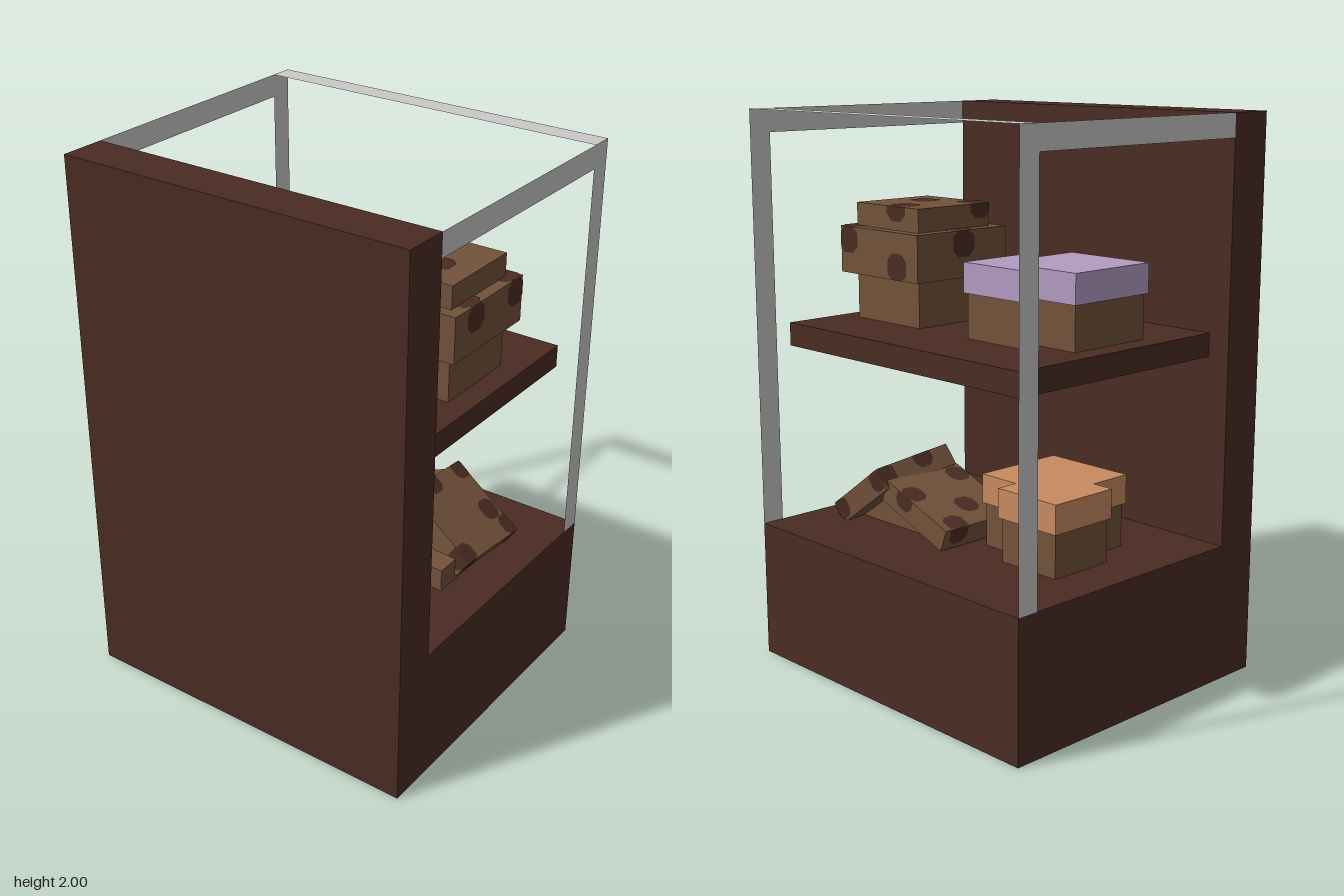
import * as THREE from 'three';
import { mergeGeometries } from 'three/addons/utils/BufferGeometryUtils.js';

const material = (name, color, side = THREE.FrontSide) => {
  const m = new THREE.MeshStandardMaterial({ color, side });
  m.name = name;
  return m;
};
const P = 1 / 12; // modelling unit
const LIP = 0.0104; // lids are slightly larger than the boxes below

export function createModel() {
  const wood = material('darkWood', 0x4a2c23);
  const tan = material('tanCrust', 0x73533b);
  const purple = material('purpleIcing', 0xb59bc3);
  const orange = material('orangeIcing', 0xc88a60);
  const grey = material('greyFrame', 0xc9c9c9, THREE.DoubleSide);
  const model = new THREE.Group();
  model.name = 'displayCase';

  // Box given by its lower and upper corners
  const box = (parent, name, mat, lo, hi) => {
    const size = hi.map((h, i) => h - lo[i]);
    const mesh = new THREE.Mesh(new THREE.BoxGeometry(...size), mat);
    mesh.name = name;
    mesh.position.set(...hi.map((h, i) => (h + lo[i]) / 2));
    parent.add(mesh);
    return mesh;
  };

  // Octagonal spots on a box; one near an edge or corner wraps round it
  const addSpots = (mesh, points, r = 0.05) => {
    const { width, height, depth } = mesh.geometry.parameters;
    const half = [width / 2, height / 2, depth / 2];
    const axis = i => new THREE.Vector3().setComponent(i % 3, 1);
    const parts = [];
    for (const p of points) for (let i = 0; i < 3; i++) for (const s of [1, -1]) {
      if (Math.abs(half[i] - s * p[i]) > r * 0.92) continue;
      const u = (i + 1) % 3, v = (i + 2) % 3, c = r * 0.5;
      const clip = (val, k) => THREE.MathUtils.clamp(val, -half[k], half[k]);
      const outline = [[r, -c], [r, c], [c, r], [-c, r], [-r, c], [-r, -c], [-c, -r], [c, -r]]
        .map(([a, b]) => new THREE.Vector2(s * clip(p[u] + a, u), clip(p[v] + b, v)));
      const geometry = new THREE.ShapeGeometry(new THREE.Shape(outline));
      const basis = new THREE.Matrix4().makeBasis(
        axis(u).multiplyScalar(s), axis(v), axis(i).multiplyScalar(s));
      basis.setPosition(axis(i).multiplyScalar(s * (half[i] + 0.002)));
      parts.push(geometry.applyMatrix4(basis));
    }
    const spots = new THREE.Mesh(mergeGeometries(parts), wood);
    spots.name = mesh.name + 'Spots';
    mesh.add(spots);
  };

  // Cabinet
  box(model, 'base', wood, [-8 * P, 0, -7 * P], [8 * P, 0.5, 7 * P]);
  box(model, 'frontWall', wood, [-8 * P, 0.5, 5 * P], [8 * P, 2, 7 * P]);
  box(model, 'shelf', wood, [-7 * P, 14 * P, -6 * P], [7 * P, 15 * P, 5 * P]);

  // Thin pane frames: a post and a rail on each side, a flat strip across the back
  const plane = (name, w, h, pos, rot) => {
    const mesh = new THREE.Mesh(new THREE.PlaneGeometry(w, h), grey);
    mesh.name = name;
    mesh.position.set(...pos);
    mesh.rotation.set(...rot);
    model.add(mesh);
  };
  for (const s of [1, -1]) {
    const side = s > 0 ? 'left' : 'right';
    const turn = [0, s * Math.PI / 2, 0];
    plane(side + 'Post', P, 1.5, [s * 8 * P, 1.25, -6.5 * P], turn);
    plane(side + 'TopRail', 11 * P, P, [s * 8 * P, 23.5 * P, -0.5 * P], turn);
  }
  plane('backTopRail', 16 * P, P, [0, 2, -6.5 * P], [-Math.PI / 2, 0, 0]);

  // Iced cakes: a tan block with a slightly wider coloured lid
  const cake = (name, mat, x, z, n, y) => {
    const g = new THREE.Group();
    g.name = name;
    const x1 = x + n * P, z1 = z + n * P;
    box(g, 'cakeBody', tan, [x, y, z], [x1, y + 2 * P, z1]);
    box(g, 'cakeIcing', mat, [x - LIP, y + 2 * P - LIP, z - LIP],
      [x1 + LIP, y + 3 * P + LIP, z1 + LIP]);
    model.add(g);
  };
  cake('largePurpleCake', purple, -6 * P, -2 * P, 4, 1.25);
  cake('smallPurpleCake', purple, -4 * P, -3 * P, 3, 1.25);
  cake('largeOrangeCake', orange, -5 * P, -2 * P, 4, 0.5);
  cake('smallOrangeCake', orange, -6 * P, -3 * P, 3, 0.5);

  // Whole spotted cake on the shelf
  const whole = new THREE.Group();
  whole.name = 'spottedCake';
  model.add(whole);
  box(whole, 'spottedCakeBody', tan, [2 * P, 1.25, -3 * P], [6 * P, 17 * P, P]);
  const middle = box(whole, 'spottedCakeMiddle', tan,
    [1.5 * P, 17 * P, -3.5 * P], [6.5 * P, 19 * P, 1.5 * P]);
  addSpots(middle, [
    [0.165, 0.04, -0.165], [0.165, 0.04, 0.085], [0.075, 0.04, 0.165],
    [-0.165, 0.04, 0.005], [-0.1, -0.04, -0.17],
  ]);
  const top = box(whole, 'spottedCakeTop', tan, [2 * P, 19 * P, -3 * P], [6 * P, 20 * P, P]);
  addSpots(top, [[-0.05, 0.04, -0.125], [0.037, 0.04, 0.043], [-0.125, 0.04, 0.125]]);

  // Collapsed spotted cake: a low block with two slabs leaning on it
  const broken = new THREE.Group();
  broken.name = 'brokenSpottedCake';
  model.add(broken);
  box(broken, 'brokenCakeBody', tan, [2 * P, 0.5, -3 * P], [6 * P, 7 * P, P]);
  const slab = (name, pos, rot, spots) => {
    const mesh = box(broken, name, tan, [-2 * P, -P / 2, -2 * P], [2 * P, P / 2, 2 * P]);
    mesh.position.set(...pos);
    mesh.rotation.set(...rot);
    addSpots(mesh, spots, 0.042);
  };
  slab('leftSlab', [0.394, 0.629, -0.183], [-0.1, 0, -0.61], [
    [-0.145, 0.03, 0.04], [0.045, 0.03, -0.115], [0.135, 0.02, 0.145],
    [0.13, 0.01, -0.15], [-0.14, 0.01, -0.14],
  ]);
  slab('rightSlab', [0.105, 0.604, -0.175], [0, 0, 0.36], [
    [0.11, 0.03, 0.12], [0.06, 0.03, -0.13], [-0.06, 0.03, 0.02],
    [-0.14, 0.02, 0.14], [-0.14, 0.02, -0.1],
  ]);

  return model;
}
